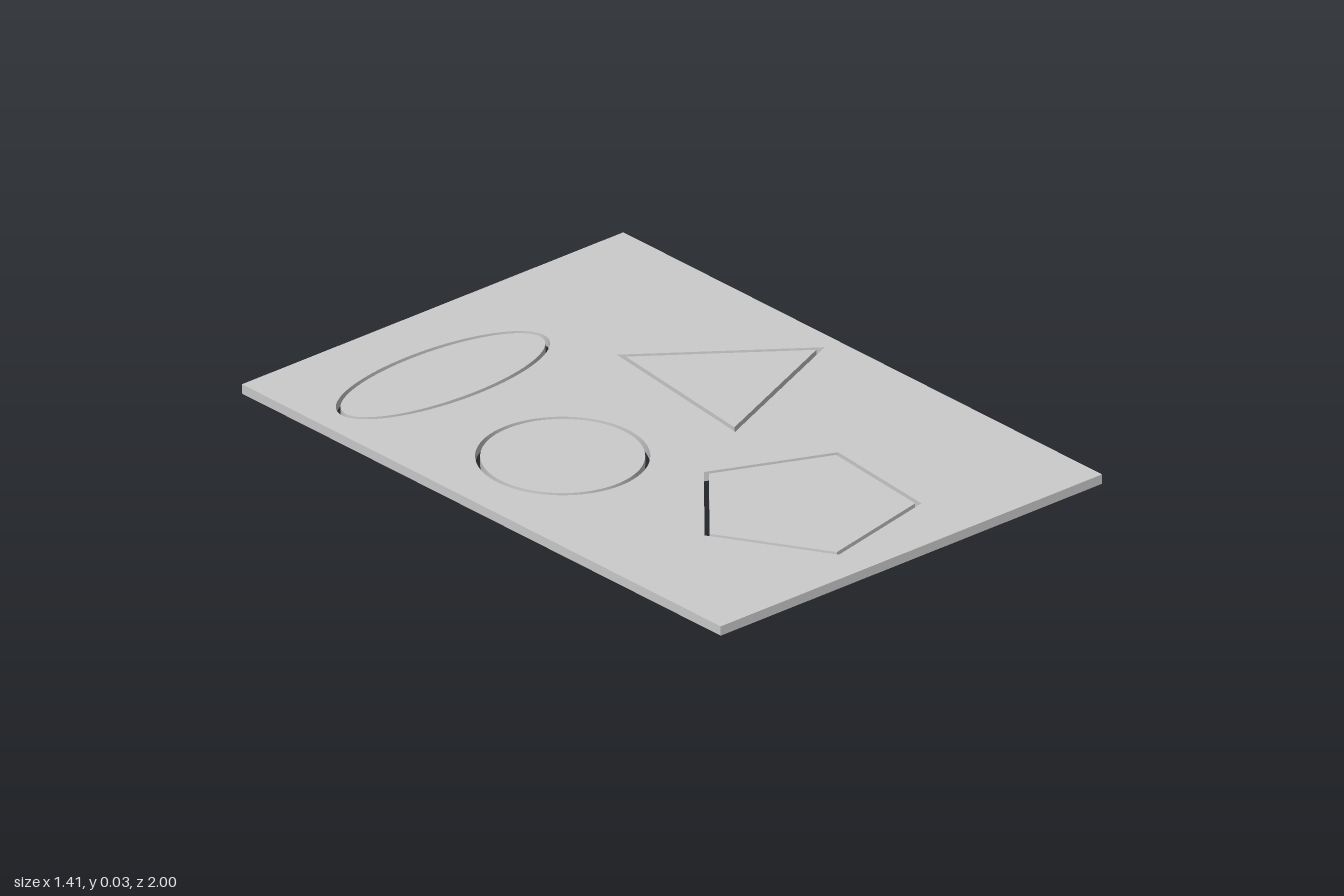
import * as THREE from 'three';
import { toCreasedNormals } from 'three/addons/utils/BufferGeometryUtils.js';

const HEIGHT = 0.029, WIDTH = 1.414, LENGTH = 2;
const GAP = 0.014; // clearance between each piece and its cutout

// Outlines lie in x and -z; rx and rz are the cutout radii, turn is in degrees.
const pieces = [
  { name: 'ellipsePiece', x: -0.253, z: -0.672, rx: 0.374, rz: 0.15, sides: 96, turn: 0 },
  { name: 'circlePiece', x: -0.336, z: -0.078, rx: 0.243, rz: 0.243, sides: 96, turn: 0 },
  { name: 'trianglePiece', x: 0.322, z: -0.139, rx: 0.334, rz: 0.334, sides: 3, turn: 7 },
  { name: 'pentagonPiece', x: -0.036, z: 0.581, rx: 0.333, rz: 0.333, sides: 5, turn: 41.4 },
];

// Points around a piece, with its edges moved inward by inset
function outline({ x, z, rx, rz, sides, turn }, inset) {
  const shrink = inset / Math.cos(Math.PI / sides);
  return Array.from({ length: sides }, (_, i) => {
    const a = THREE.MathUtils.degToRad(turn) + (i / sides) * Math.PI * 2;
    return new THREE.Vector2(x + (rx - shrink) * Math.cos(a), -z - (rz - shrink) * Math.sin(a));
  });
}

// Flat slab lying on the ground
function slab(name, shape, material) {
  const geometry = new THREE.ExtrudeGeometry(shape, { depth: HEIGHT, bevelEnabled: false });
  geometry.rotateX(-Math.PI / 2);
  const mesh = new THREE.Mesh(toCreasedNormals(geometry, Math.PI / 6), material);
  mesh.name = name;
  return mesh;
}

export function createModel() {
  const group = new THREE.Group();
  group.name = 'shapePuzzle';
  const material = new THREE.MeshStandardMaterial({ color: 0xcccccc });

  // Board with one cutout per piece
  const w = WIDTH / 2, l = LENGTH / 2;
  const board = new THREE.Shape([
    new THREE.Vector2(-w, -l), new THREE.Vector2(w, -l),
    new THREE.Vector2(w, l), new THREE.Vector2(-w, l),
  ]);
  board.holes = pieces.map((p) => new THREE.Path(outline(p, 0)));
  group.add(slab('board', board, material));

  // Loose pieces sitting in the cutouts
  for (const p of pieces) group.add(slab(p.name, new THREE.Shape(outline(p, GAP)), material));
  return group;
}
